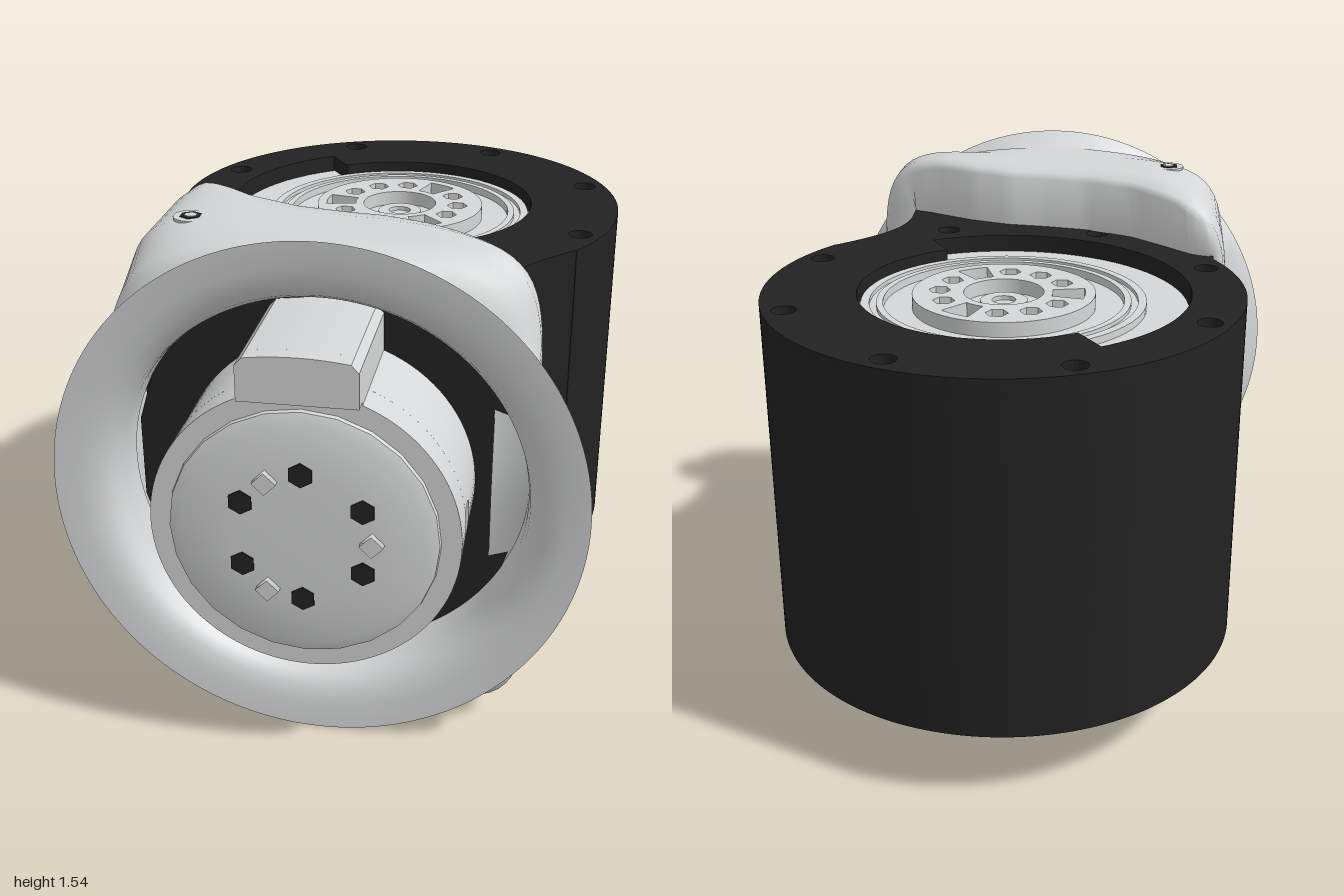
import * as THREE from 'three';
import { toCreasedNormals } from 'three/addons/utils/BufferGeometryUtils.js';

const light = new THREE.MeshStandardMaterial({ color: 0xd6d7d8, side: THREE.DoubleSide });
light.name = 'light grey shell';
const black = new THREE.MeshStandardMaterial({ color: 0x222222 });
black.name = 'black housing';

const CX = 0.06, CZ = -0.293, R = 0.709;   // drum axis
const FX = -0.015, FY = 0.7725;            // front opening axis

function add(group, name, geometry, material) {
  const mesh = new THREE.Mesh(geometry, material);
  mesh.name = name;
  group.add(mesh);
  return mesh;
}

function circlePath(x, y, r) {
  return new THREE.Path().absarc(x, y, r, 0, Math.PI * 2, true);
}

function hexPath(x, y, r) {
  const pts = [];
  for (let i = 0; i < 6; i++) {
    const a = (i * Math.PI) / 3;
    pts.push(new THREE.Vector2(x + r * Math.cos(a), y + r * Math.sin(a)));
  }
  return new THREE.Path(pts);
}

// Plan shape (x, -z) raised from y0 to y1
function slab(shape, y0, y1) {
  const g = new THREE.ExtrudeGeometry(shape, { depth: y1 - y0, bevelEnabled: false, curveSegments: 72 });
  g.rotateX(-Math.PI / 2).translate(0, y0, 0);
  return toCreasedNormals(g, 0.5);
}

// Shape in the front plane, extruded from z0 to z1
function frontSlab(shape, z0, z1) {
  const g = new THREE.ExtrudeGeometry(shape, { depth: z1 - z0, bevelEnabled: false, curveSegments: 48 });
  g.translate(0, 0, z0);
  return toCreasedNormals(g, 0.5);
}

// Drum outline with a neck running to the front
function housingShape() {
  const s = new THREE.Shape();
  s.absarc(CX, -CZ, R, -0.589, 3.643, false);
  s.lineTo(-0.56, -0.56);
  s.lineTo(0.46, -0.56);
  s.lineTo(0.455, -0.44);
  s.bezierCurveTo(0.46, -0.31, 0.52, -0.22, 0.648, -0.1);
  return s;
}

// Rear edge of the cover as a function of x
const edge = [[-0.62, 0.085], [-0.56, 0.07], [-0.5, 0.085], [-0.4, 0.18], [-0.3, 0.27], [-0.15, 0.34],
  [0, 0.37], [0.12, 0.385], [0.25, 0.43], [0.4, 0.51], [0.5, 0.55], [0.6, 0.56]];
function rearZ(x) {
  for (let i = 1; i < edge.length; i++) {
    const [x0, z0] = edge[i - 1], [x1, z1] = edge[i];
    if (x <= x1) return THREE.MathUtils.lerp(z0, z1, Math.max(0, (x - x0) / (x1 - x0)));
  }
  return 0.56;
}

// Bell-mouthed rim blending into a rounded box with a curved rear edge
function coverGeometry() {
  const N = 180, pos = [], index = [], { lerp, clamp } = THREE.MathUtils;
  let rows = 0;
  for (let i = 0; i < N; i++) {
    const a = (i / N) * Math.PI * 2, c = Math.cos(a), s = Math.sin(a);
    const box = Math.pow(Math.pow(Math.abs(c) / 0.598, 6.5) + Math.pow(Math.abs(s) / 0.7275, 6.5), -1 / 6.5);
    const tip = 0.758 + 0.013 * s * s;
    const neck = Math.min(0.728, box + 0.035);
    // the free side arches forward at mid height
    const zb = rearZ(FX + box * c) + 0.06 * Math.pow(Math.max(0, c), 6);
    const section = [
      [0.578, 0.59], [0.583, 0.68], [0.59, 0.72], [0.607, 0.75], [0.64, 0.773], [0.69, 0.785], [tip, 0.79],
      [tip - 0.003, 0.783], [neck, 0.742], [lerp(neck, box, 0.6), 0.71], [box, lerp(zb, 0.7, 0.7)],
      [box, lerp(zb, 0.7, 0.2) + 0.01], [box - 0.01, zb + 0.015], [box - 0.03, zb],
    ].map(([r, z]) => [r * c, r * s, z]);
    // the edge folds inward to meet the housing
    section.push([clamp(box * c, -0.54, 0.473), clamp(box * s, -0.536, 0.536), zb + 0.003]);
    rows = section.length;
    section.forEach(([x, y, z]) => pos.push(FX + x, FY + y, z));
  }
  for (let i = 0; i < N; i++) {
    for (let j = 0; j < rows - 1; j++) {
      const a = i * rows + j, d = ((i + 1) % N) * rows + j;
      index.push(a, a + 1, d + 1, a, d + 1, d);
    }
  }
  const g = new THREE.BufferGeometry();
  g.setAttribute('position', new THREE.Float32BufferAttribute(pos, 3));
  g.setIndex(index);
  return toCreasedNormals(g, 1);
}

function buildHousing() {
  const g = new THREE.Group();
  g.name = 'housing';
  const bottom = housingShape(), top = housingShape();
  bottom.holes.push(circlePath(CX, -CZ, 0.25));
  // top recess: wide on one side, narrow on the other
  const recess = new THREE.Path();
  recess.absarc(CX, -CZ, 0.55, 2.16, 5.25, false);
  recess.absarc(CX, -CZ, 0.43, 5.25, 2.16 + Math.PI * 2, false);
  recess.closePath();
  top.holes.push(recess);
  // eight screws on top, four plain holes underneath
  for (let k = 0; k < 8; k++) {
    const a = ((k + 0.5) * Math.PI) / 4;
    const x = CX + 0.645 * Math.cos(a), y = -CZ + 0.645 * Math.sin(a);
    top.holes.push(circlePath(x, y, 0.036));
    if (k % 4 === 1 || k % 4 === 2) bottom.holes.push(circlePath(x, y, 0.033));
    const screw = add(g, 'screw', new THREE.CylinderGeometry(0.022, 0.022, 0.008, 6), light);
    screw.position.set(x, 1.256, -y);
  }
  add(g, 'housingBottom', slab(bottom, 0.235, 0.29), black);
  add(g, 'housingBody', slab(housingShape(), 0.29, 1.25), black);
  add(g, 'housingTop', slab(top, 1.25, 1.31), black);
  add(g, 'bottomSlot', new THREE.BoxGeometry(0.17, 0.02, 0.06), black).position.set(CX, 0.285, CZ);

  // plate behind the front opening
  const plate = new THREE.Shape([[-0.44, 0.235], [0.42, 0.235], [0.48, 0.45], [0.545, 0.65], [0.545, 0.9],
    [0.48, 1.1], [0.42, 1.31], [-0.44, 1.31], [-0.51, 1.1], [-0.57, 0.9], [-0.57, 0.65], [-0.51, 0.45]]
    .map(([x, y]) => new THREE.Vector2(x, y)));
  add(g, 'frontPlate', frontSlab(plate, 0.555, 0.6), black);
  return g;
}

function buildTurntable() {
  const g = new THREE.Group();
  g.name = 'turntable';
  const profile = [[0.545, 1.258], [0.42, 1.258], [0.42, 1.28], [0.395, 1.28], [0.395, 1.268], [0.375, 1.268],
    [0.375, 1.28], [0.355, 1.28], [0.355, 1.256], [0.07, 1.256], [0.07, 1.275], [0.035, 1.275], [0.035, 1.262], [0, 1.262]]
    .map(([r, y]) => new THREE.Vector2(r, y));
  const disc = add(g, 'disc', toCreasedNormals(new THREE.LatheGeometry(profile, 72), 0.5), light);
  disc.position.set(CX, 0, CZ);

  // hub with nine hex holes and three wedge slots
  const hub = new THREE.Shape().absarc(CX, -CZ, 0.27, 0, Math.PI * 2, false);
  hub.holes.push(circlePath(CX, -CZ, 0.118));
  for (let k = 0; k < 12; k++) {
    const a = (k * Math.PI) / 6;
    if (k % 4 === 2) {
      const slot = new THREE.Path();
      slot.absarc(CX, -CZ, 0.24, a - 0.2, a + 0.2, false);
      slot.absarc(CX, -CZ, 0.145, a + 0.2, a - 0.2, true);
      slot.closePath();
      hub.holes.push(slot);
    } else hub.holes.push(hexPath(CX + 0.19 * Math.cos(a), -CZ + 0.19 * Math.sin(a), 0.033));
  }
  add(g, 'hub', slab(hub, 1.256, 1.3), light);
  return g;
}

function buildPlug() {
  const g = new THREE.Group();
  g.name = 'plug';
  // front disc and rear body, joined only over the upper half
  const disc = new THREE.Shape().absarc(FX, 0.775, 0.425, 0, Math.PI * 2, false);
  add(g, 'plugDisc', frontSlab(disc, 0.855, 0.95), light);
  add(g, 'plugRearBody', frontSlab(disc, 0.58, 0.78), light);
  const half = new THREE.Shape().absarc(FX, 0.775, 0.425, 0.118, Math.PI - 0.118, false);
  add(g, 'plugUpperBody', frontSlab(half, 0.78, 0.855), light);

  // shallow domed cap
  const dome = [[0.372, 0.945], [0.368, 0.962], [0.335, 0.974], [0.2, 0.98], [0, 0.982]]
    .map(([r, y]) => new THREE.Vector2(r, y));
  const cap = add(g, 'plugCap', toCreasedNormals(new THREE.LatheGeometry(dome, 24), 0.5), light);
  cap.rotation.x = Math.PI / 2;
  cap.position.set(FX, 0.775, 0);
  const spot = (name, angle, r, sides, z, depth, mat) => {
    const geo = new THREE.CylinderGeometry(r, r, depth, sides).rotateX(Math.PI / 2);
    add(g, name, geo, mat).position.set(FX + 0.19 * Math.cos(angle), 0.778 + 0.19 * Math.sin(angle), z);
  };
  for (let k = 0; k < 6; k++) spot('capHole', Math.PI / 6 + (k * Math.PI) / 3, 0.036, 6, 0.981, 0.006, black);
  for (let k = 0; k < 3; k++) spot('capPeg', (k * Math.PI * 2) / 3, 0.033, 4, 0.985, 0.03, light);

  // key tab with a curved top
  const tab = new THREE.Shape();
  tab.moveTo(-0.175, 1.14);
  tab.lineTo(0.145, 1.14);
  tab.lineTo(0.145, 1.28);
  tab.lineTo(0.125, 1.302);
  tab.quadraticCurveTo(FX, 1.322, -0.155, 1.302);
  tab.lineTo(-0.175, 1.28);
  add(g, 'keyTab', frontSlab(tab, 0.58, 0.95), light);
  const nose = new THREE.Shape(tab.getPoints(12).map((p) => new THREE.Vector2(p.x, Math.max(p.y, 1.18))));
  add(g, 'keyTabNose', frontSlab(nose, 0.95, 1.0), light);
  return g;
}

export function createModel() {
  const model = new THREE.Group();
  model.name = 'roundMotorUnit';
  model.add(buildHousing(), buildTurntable(), buildPlug());
  add(model, 'cover', coverGeometry(), light);
  // cover screws above and below: seat, dark socket, pin
  for (const side of [-1, 1]) {
    const layers = [['coverScrewSeat', 0.05, 24, 0, light], ['coverScrewSocket', 0.032, 6, 0.002, black], ['coverScrewPin', 0.019, 6, 0.004, light]];
    for (const [name, r, sides, lift, mat] of layers) {
      const disc = add(model, name, new THREE.CylinderGeometry(r, r, 0.008, sides), mat);
      disc.position.set(-0.415, FY + side * (0.717 + lift), 0.5);
    }
  }
  return model;
}
